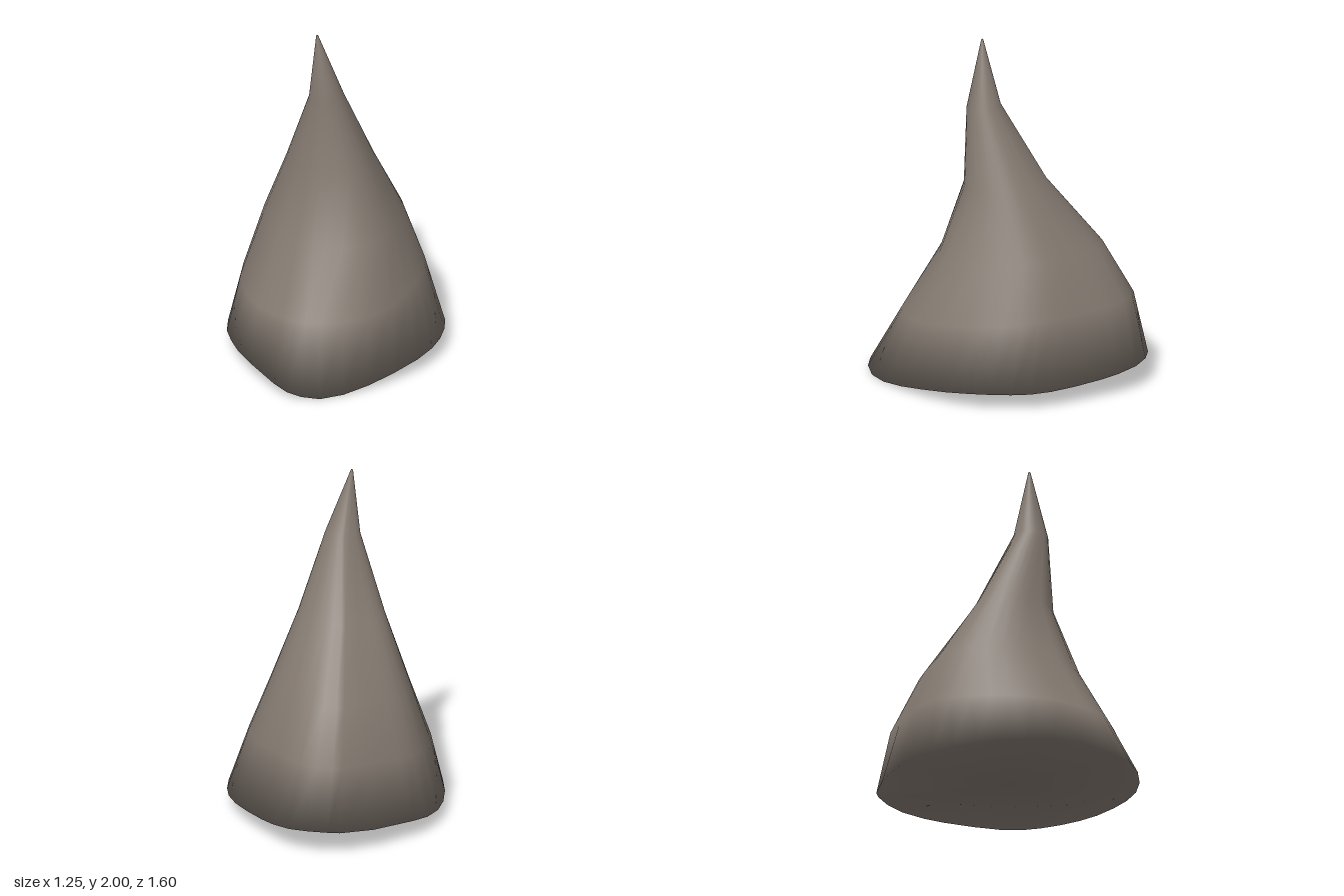
import * as THREE from 'three';

// Wavy lens-shaped base rim, running front -> left (+x) -> back -> right
const RIM = [
  [0.045, 0.02, 0.795], [0.145, 0.002, 0.755], [0.26, 0.007, 0.67], [0.375, 0.028, 0.55], [0.48, 0.055, 0.41],
  [0.57, 0.08, 0.255], [0.615, 0.095, 0.12], [0.624, 0.1, 0], [0.61, 0.1, -0.125], [0.58, 0.1, -0.235],
  [0.52, 0.102, -0.345], [0.43, 0.108, -0.465], [0.32, 0.118, -0.595], [0.24, 0.128, -0.68], [0.13, 0.142, -0.765],
  [0.015, 0.15, -0.8], [-0.1, 0.148, -0.795], [-0.165, 0.142, -0.775], [-0.335, 0.124, -0.645], [-0.52, 0.105, -0.43],
  [-0.585, 0.092, -0.32], [-0.62, 0.08, -0.18], [-0.625, 0.078, -0.04], [-0.607, 0.083, 0.105], [-0.57, 0.088, 0.245],
  [-0.505, 0.095, 0.37], [-0.425, 0.1, 0.495], [-0.315, 0.096, 0.615], [-0.13, 0.06, 0.755], [-0.04, 0.038, 0.795],
];
const SIDES = RIM.length;

// Cross-sections: mean height, x range, z range, front-to-back tilt, roundness,
// corner bulge [front left, front right, back left, back right]
const RINGS = [
  [0.45, -0.55, 0.495, -0.72, 0.6, 0.06, 0.1, [0.17, 0.06, -0.05, -0.08]],
  [0.79, -0.44, 0.365, -0.54, 0.38, 0.02, 0.3, [0.2, 0, 0, -0.1]],
  [1.17, -0.28, 0.225, -0.22, 0.25, 0.01, 0.6, [0.08, 0, 0.06, -0.15]],
  [1.615, -0.11, 0.09, 0.04, 0.235, 0.01, 1, [0, 0, 0, 0]],
  [1.995, -0.066, -0.054, 0.148, 0.16, 0, 1, [0, 0, 0, 0]],
];

function hornGeometry() {
  const positions = RIM.flat();
  const index = [];

  for (const [y, x0, x1, z0, z1, tilt, round, bulge] of RINGS) {
    for (const [px, , pz] of RIM) {
      let u = px / 0.625;
      let v = pz / 0.8;
      const r = Math.hypot(u, v);
      // Blend the pointed outline towards an ellipse, then swell or flatten its corners
      const corner = ((2 * u * v) / (r * r)) ** 2;
      const quadrant = (v < 0 ? 2 : 0) + (u < 0 ? 1 : 0);
      const k = (1 + (1 / r - 1) * round) * (1 + bulge[quadrant] * corner);
      u *= k;
      v *= k;
      positions.push(
        (x0 + x1) / 2 + (u * (x1 - x0)) / 2,
        y - v * tilt + u * 0.3 * tilt,
        (z0 + z1) / 2 + (v * (z1 - z0)) / 2
      );
    }
  }

  // Side walls
  for (let r = 0; r < RINGS.length; r++) {
    for (let i = 0; i < SIDES; i++) {
      const a = r * SIDES + i;
      const b = r * SIDES + ((i + 1) % SIDES);
      index.push(a, b, b + SIDES, a, b + SIDES, a + SIDES);
    }
  }

  // Closed underside and tip
  const base = positions.length / 3;
  positions.push(0, 0.095, 0, -0.06, 2, 0.154);
  const top = RINGS.length * SIDES;
  for (let i = 0; i < SIDES; i++) {
    const j = (i + 1) % SIDES;
    index.push(base, j, i, base + 1, top + i, top + j);
  }

  const geometry = new THREE.BufferGeometry();
  geometry.setAttribute('position', new THREE.Float32BufferAttribute(positions, 3));
  geometry.setIndex(index);
  geometry.computeVertexNormals();
  return geometry;
}

export function createModel() {
  const group = new THREE.Group();
  group.name = 'hornSpike';
  const horn = new THREE.Mesh(hornGeometry(), new THREE.MeshStandardMaterial({ color: 0x857b72 }));
  horn.name = 'horn';
  group.add(horn);
  return group;
}
